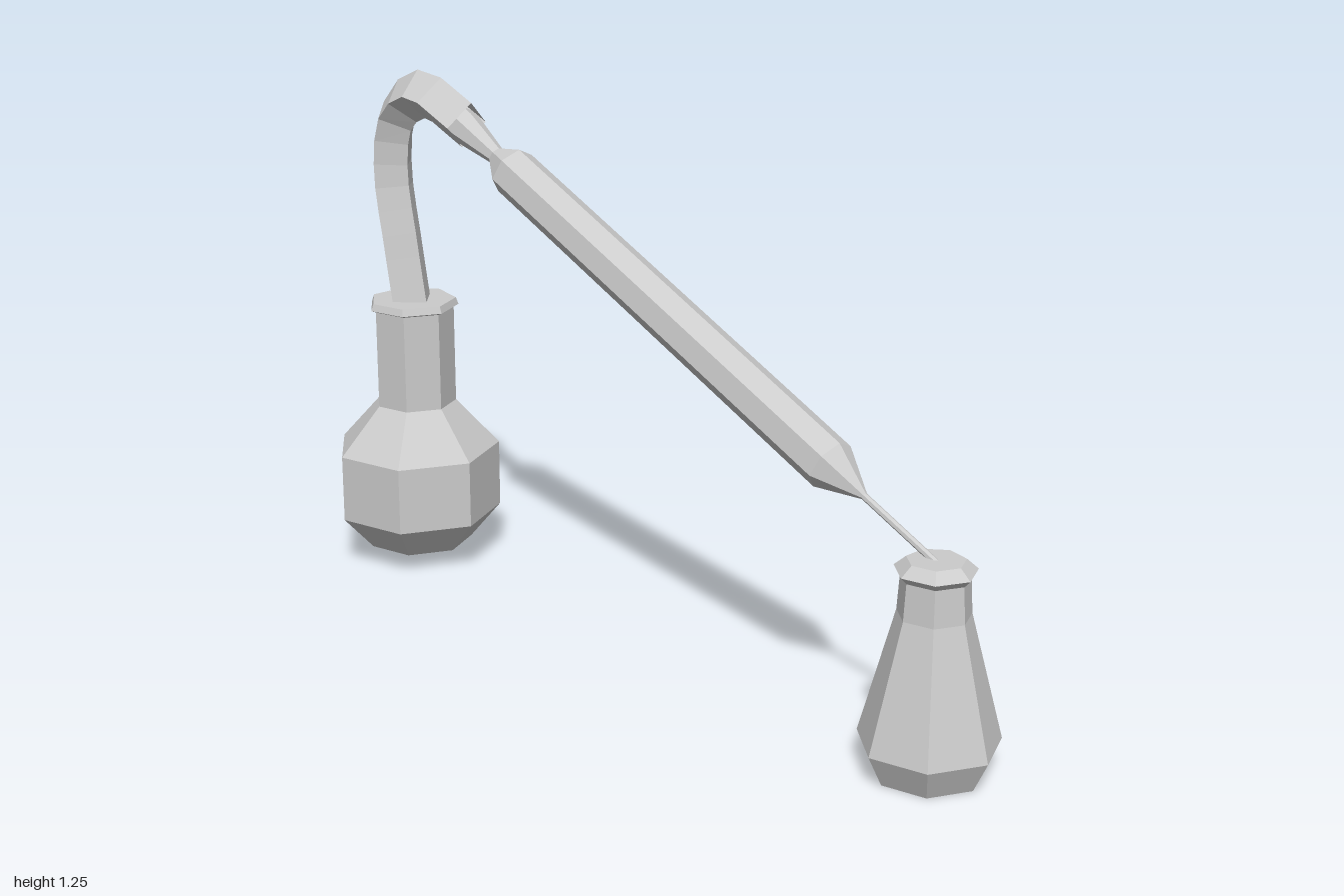
import * as THREE from 'three';

const SIDES = 7;
const material = new THREE.MeshStandardMaterial({ color: 0xcccccc, flatShading: true, side: THREE.DoubleSide });

// Seven-sided turned part; profile runs bottom to top as [radius, height], one corner facing +x
function turned(name, profile, x, y) {
  const points = profile.map(([r, h]) => new THREE.Vector2(r, h));
  const mesh = new THREE.Mesh(new THREE.LatheGeometry(points, SIDES, Math.PI / 2), material);
  mesh.name = name;
  mesh.position.set(x, y, 0);
  return mesh;
}

export function createModel() {
  const model = new THREE.Group();
  model.name = 'distillationApparatus';

  // Round boiling flask with a straight neck and rim
  model.add(turned('roundFlask', [
    [0, 0.005], [0.13, 0.045], [0.205, 0.13], [0.205, 0.295], [0.1, 0.41],
    [0.1, 0.652], [0.112, 0.657], [0.106, 0.674], [0.085, 0.674], [0, 0.674],
  ], -0.815, 0));

  // Conical receiving flask
  model.add(turned('conicalFlask', [
    [0, 0], [0.118, 0], [0.152, 0.07], [0.078, 0.35], [0.073, 0.43],
    [0.087, 0.445], [0.062, 0.467], [0, 0.467],
  ], 0.848, 0));

  // Square-section bent tube rising from the round flask
  const path = new THREE.CatmullRomCurve3([
    [-0.805, 0.6], [-0.845, 0.8], [-0.877, 1.0], [-0.848, 1.13], [-0.75, 1.19], [-0.59, 1.137],
  ].map(([x, y]) => new THREE.Vector3(x, y, 0)));
  const tube = new THREE.Mesh(new THREE.TubeGeometry(path, 14, 0.058, 4), material);
  tube.name = 'bentTube';
  model.add(tube);

  // Sloping condenser: drip rod, jacket, and flared inlet inside the bent tube
  const condenser = turned('condenser', [
    [0, -0.322], [0.008, -0.322], [0.008, -0.104], [0.058, 0], [0.058, 1.091],
    [0.021, 1.153], [0.04, 1.27], [0.04, 1.3], [0, 1.3],
  ], 0.561, 0.594);
  condenser.rotation.z = 1.135;
  model.add(condenser);

  return model;
}
